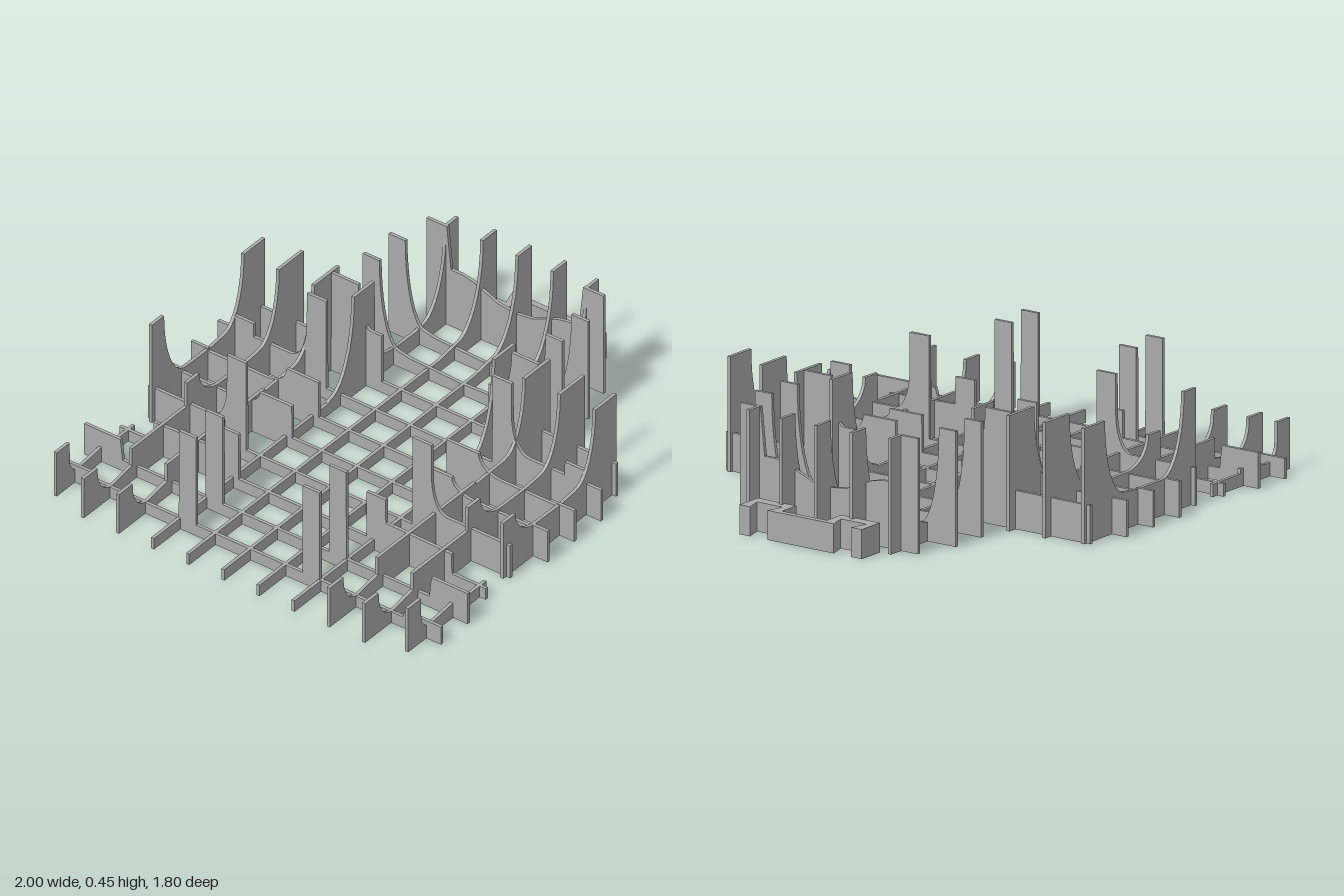
import * as THREE from 'three';

const T = 0.014; // plate thickness

// Quarter ellipse falling steeply from (x0,y0) and levelling out at (x1,y1)
function fall(x0, y0, x1, y1) {
  const pts = [];
  for (let i = 0; i <= 10; i++) {
    const a = (i / 10) * Math.PI / 2;
    pts.push([x0 + (x1 - x0) * (1 - Math.cos(a)), y1 + (y0 - y1) * (1 - Math.sin(a))]);
  }
  return pts;
}
const rise = (x0, y0, x1, y1) => fall(x1, y1, x0, y0).reverse();

// Upright plate whose top edge follows the points
function plate(top) {
  const pts = [[top[0][0], 0], [top[top.length - 1][0], 0], ...top.slice().reverse()];
  const shape = new THREE.Shape(pts.map(p => new THREE.Vector2(p[0], p[1])));
  const g = new THREE.ExtrudeGeometry(shape, { depth: T, bevelEnabled: false });
  return g.translate(0, 0, -T / 2);
}

export function createModel() {
  const model = new THREE.Group();
  const grey = new THREE.MeshStandardMaterial({ color: 0xaaaaaa });
  grey.name = 'plainGrey';

  const add = (geo, name, x = 0, z = 0) => {
    const m = new THREE.Mesh(geo, grey);
    m.name = name;
    m.position.set(x, 0, z);
    model.add(m);
  };
  const rib = (z, top) => add(plate(top), 'lengthRib', 0, z);
  // Cross ribs are given from the centre outward and mirrored
  const crossRib = (x, half) => {
    const left = half.slice().reverse().map(p => [-p[0], p[1]]);
    const skip = half[0][0] === 0 ? 1 : 0;
    add(plate([...left, ...half.slice(skip)]).rotateY(-Math.PI / 2), 'crossRib', x);
  };

  // Shared stretches of the length ribs
  const leftCup = [[-1, 0.18], [-0.915, 0.18], ...fall(-0.914, 0.16, -0.82, 0.05), [-0.701, 0.07]];
  const midBowl = [...fall(-0.285, 0.255, -0.15, 0.14), [0, 0.138], [0.08, 0.145], ...rise(0.09, 0.147, 0.21, 0.45)];
  const endBowl = [...fall(0.367, 0.13, 0.55, 0.07), [0.62, 0.07], ...rise(0.66, 0.075, 0.81, 0.45)];

  for (const s of [-1, 1]) {
    // Outermost ribs, in two pieces
    const e = s * 0.825;
    rib(e, [[-0.95, 0.2], [-0.87, 0.2], ...fall(-0.869, 0.12, -0.81, 0.052), [-0.64, 0.07], [-0.639, 0.05], [-0.465, 0.05]]);
    const h = s > 0 ? 0.255 : 0.45;
    rib(e, [[-0.36, h], [-0.286, h], ...fall(-0.285, h, -0.15, 0.14), ...midBowl.slice(11), [0.34, 0.45]]);
    // Ribs through the side bowls
    rib(s * 0.66, [...leftCup, [-0.7, 0.148], [-0.361, 0.148], [-0.36, 0.255], [-0.286, 0.255], ...midBowl, [0.362, 0.45]]);
    rib(s * 0.495, [...leftCup, [-0.7, 0.148], [-0.095, 0.148], [-0.094, 0.138], ...midBowl.slice(12), [0.366, 0.45]]);
    // Ribs along the edge of the end bowl
    rib(s * 0.33, [[-1, 0.05], [0.08, 0.05], ...rise(0.09, 0.06, 0.24, 0.45), [0.366, 0.45], ...endBowl, [0.885, 0.45]]);
  }
  // Central ribs
  for (const z of [-0.165, 0, 0.165]) {
    rib(z, [[-1, 0.05], [0.55, 0.05], [0.62, 0.06], ...rise(0.66, 0.065, 0.82, 0.45), [0.905, 0.45]]);
  }

  // Left cross ribs with tall posts
  for (const x of [-0.83, -0.665]) {
    crossRib(x, [[0, 0.05], [0.25, 0.05], [0.251, 0.45], [0.33, 0.45], [0.331, 0.05], [0.72, 0.05],
      [0.73, x < -0.7 ? 0.08 : 0.14], [0.9, x < -0.7 ? 0.08 : 0.14]]);
  }
  crossRib(-0.5, [[0, 0.05], [0.3, 0.05], [0.301, 0.255], [0.39, 0.255], [0.391, 0.148], [0.7, 0.14], [0.701, 0.05], [0.86, 0.05]]);
  // Middle cross ribs
  crossRib(-0.335, [[0, 0.05], [0.39, 0.05], [0.391, 0.45], [0.48, 0.45], ...fall(0.481, 0.3, 0.55, 0.148), [0.85, 0.148]]);
  for (const [x, h] of [[-0.17, 0.195], [-0.005, 0.21]]) {
    crossRib(x, [[0, 0.05], [0.3, 0.05], [0.301, h], [0.45, h], ...fall(0.451, h, 0.55, 0.13), [0.82, 0.13], [0.821, 0.142], [0.9, 0.142]]);
  }
  crossRib(0.16, [[0, 0.05], [0.39, 0.05], [0.391, 0.45], [0.48, 0.45], ...fall(0.481, 0.3, 0.56, 0.14), [0.73, 0.14],
    [0.731, 0.2], [0.82, 0.2], [0.821, 0.142], [0.9, 0.142]]);
  crossRib(0.32, [[0, 0.05], [0.25, 0.05], [0.251, 0.26], ...rise(0.3, 0.26, 0.36, 0.45), [0.485, 0.45],
    [0.486, 0.15], [0.85, 0.15]]);
  // End bowl cross ribs
  for (const x of [0.49, 0.65]) {
    crossRib(x, [[0, 0.05], [0.25, 0.06], ...rise(0.3, 0.07, 0.39, 0.45), [0.468, 0.45]]);
  }
  crossRib(0.815, [[0, 0.19], [0.08, 0.2], [0.2, 0.25], [0.25, 0.26], [0.3, 0.26], [0.32, 0.45], [0.415, 0.45]]);

  // Connector: two dovetail sockets joined by a bar
  const half = [[0.975, 0.105], [0.885, 0.105], [0.885, 0.285], [1, 0.285], [1, 0.235],
    [0.93, 0.255], [0.93, 0.135], [1, 0.155]];
  const outline = [...half, ...half.slice().reverse().map(p => [p[0], -p[1]])];
  const clip = new THREE.Shape(outline.map(p => new THREE.Vector2(p[0], -p[1])));
  add(new THREE.ExtrudeGeometry(clip, { depth: 0.115, bevelEnabled: false }).rotateX(-Math.PI / 2), 'endConnector');

  return model;
}
